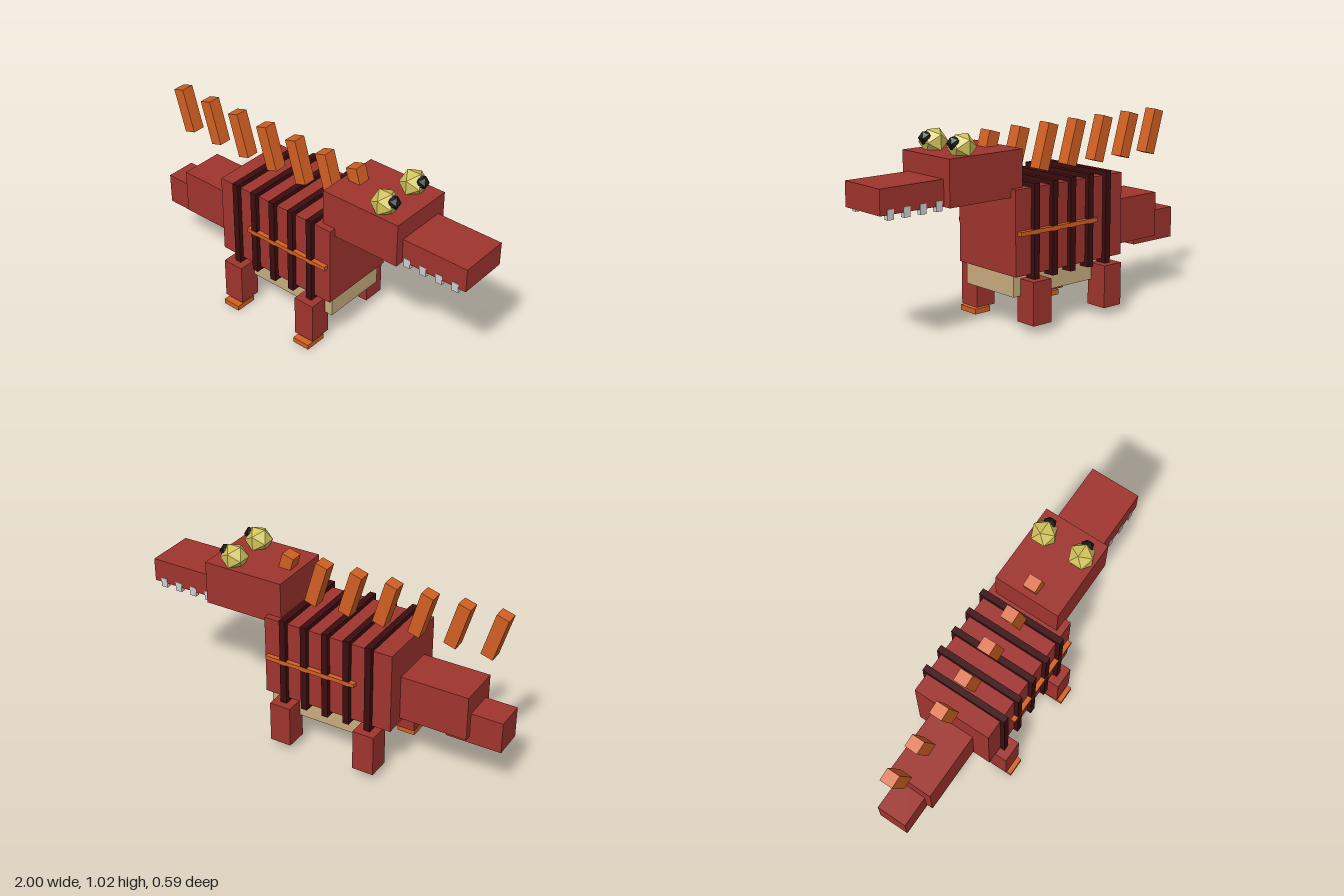
import * as THREE from 'three';

const CZ = -0.012; // the body's mid plane in z

export function createModel() {
  const mat = (name, hex) => {
    const m = new THREE.MeshStandardMaterial({ color: hex });
    m.name = name;
    return m;
  };
  const red = mat('brick red', 0xa0342e);
  const maroon = mat('dark maroon', 0x3c0d0f);
  const orange = mat('orange', 0xd26022);
  const tan = mat('tan', 0xc8ad7f);
  const yellow = mat('eye yellow', 0xd0c35a);
  const black = mat('pupil black', 0x1a1a1c);
  const white = mat('tooth grey', 0xcfcfcf);
  yellow.flatShading = black.flatShading = true;

  const model = new THREE.Group();
  model.name = 'blockyReptile';

  const add = (name, geometry, material, x, y, z) => {
    const mesh = new THREE.Mesh(geometry, material);
    mesh.name = name;
    mesh.position.set(x, y, z);
    model.add(mesh);
    return mesh;
  };
  // Box given by its limits on each axis
  const block = (name, material, [x0, x1], [y0, y1], [z0, z1]) =>
    add(name, new THREE.BoxGeometry(x1 - x0, y1 - y0, z1 - z0), material,
      (x0 + x1) / 2, (y0 + y1) / 2, (z0 + z1) / 2);
  // Limits centred on the mid plane
  const mid = (half) => [CZ - half, CZ + half];

  // Trunk, belly, tail and head
  block('body', red, [-0.465, 0.26], [0.292, 0.728], mid(0.218));
  block('belly', tan, [-0.325, 0.245], [0.18, 0.31], mid(0.183));
  block('tailBase', red, [-0.83, -0.46], [0.317, 0.56], mid(0.121));
  block('tailTip', red, [-1, -0.705], [0.28, 0.45], mid(0.083));
  block('head', red, [0.185, 0.635], [0.685, 0.918], mid(0.183));
  block('snout', red, [0.63, 1], [0.692, 0.818], mid(0.138));

  // Bands wrapped round the trunk
  for (let i = 0; i < 5; i++) {
    const x = -0.346 + i * 0.122;
    block('band', maroon, [x - 0.0175, x + 0.0175], [0.268, 0.751], mid(0.242));
  }

  // Row of leaning spikes floating above the back
  for (let i = 0; i < 7; i++) {
    const spike = add('spike', new THREE.BoxGeometry(0.067, 0.242, 0.07), orange,
      -0.902 + i * 0.195, 0.875, CZ);
    spike.rotation.z = 0.285;
  }

  // Paired parts on both sides
  for (const s of [1, -1]) {
    const side = (inner, outer) => [CZ + s * inner, CZ + s * outer].sort((a, b) => a - b);

    block('sideStripe', orange, [-0.27, 0.245], [0.498, 0.52], side(0.217, 0.2435));

    for (const x of [-0.347, 0.14]) {
      block('leg', red, [x - 0.059, x + 0.059], [0.044, 0.269], side(0.159, 0.281));
      // Only the +z legs have feet
      if (s > 0) block('foot', orange, [x - 0.05, x + 0.05], [0, 0.028], [0.172, 0.293]);
    }

    for (let i = 0; i < 4; i++) {
      const x = 0.664 + i * 0.0925;
      block('tooth', white, [x - 0.018, x + 0.018], [0.667, 0.717], side(0.116, 0.1405));
    }

    const z = CZ + s * 0.11;
    add('eye', new THREE.IcosahedronGeometry(0.073), yellow, 0.503, 0.953, z);
    add('pupil', new THREE.IcosahedronGeometry(0.037), black, 0.55, 0.975, z);
  }

  return model;
}
